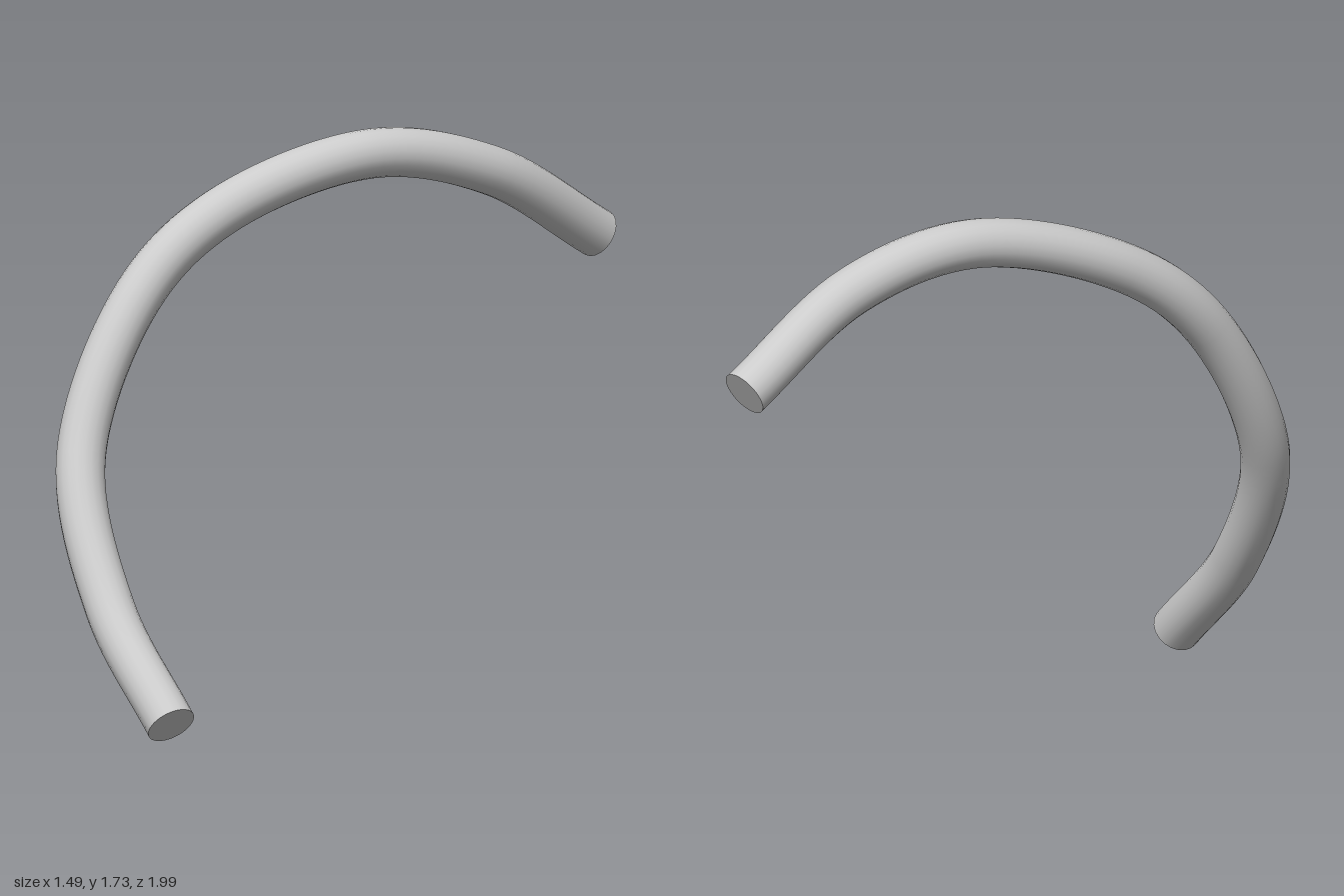
import * as THREE from 'three';

export function createModel() {
  const group = new THREE.Group();
  group.name = 'curvedTube';
  const material = new THREE.MeshStandardMaterial({ color: 0xcccccc });
  const radius = 0.077, sides = 20;

  // Centre line of the twisted arc, from the low front end to the high back end
  const path = new THREE.CatmullRomCurve3([
    [-0.29, 0.08, 0.93],
    [-0.53, 0.4, 0.69],
    [-0.668, 0.83, 0.45],
    [-0.535, 1.3, 0.2],
    [-0.32, 1.53, 0],
    [0.09, 1.676, -0.31],
    [0.41, 1.59, -0.59],
    [0.68, 1.345, -0.935],
  ].map((p) => new THREE.Vector3(...p)));

  // Smooth round body
  const body = new THREE.Mesh(new THREE.TubeGeometry(path, 80, radius, sides), material);
  body.name = 'tubeBody';
  group.add(body);

  // Flat discs closing both ends, facing outward along the path
  for (const [name, t, sign] of [['frontCap', 0, -1], ['backCap', 1, 1]]) {
    const cap = new THREE.Mesh(new THREE.CircleGeometry(radius, sides * 2), material);
    const outward = path.getTangentAt(t).multiplyScalar(sign);
    cap.name = name;
    cap.position.copy(path.getPointAt(t));
    cap.quaternion.setFromUnitVectors(new THREE.Vector3(0, 0, 1), outward);
    group.add(cap);
  }
  return group;
}
